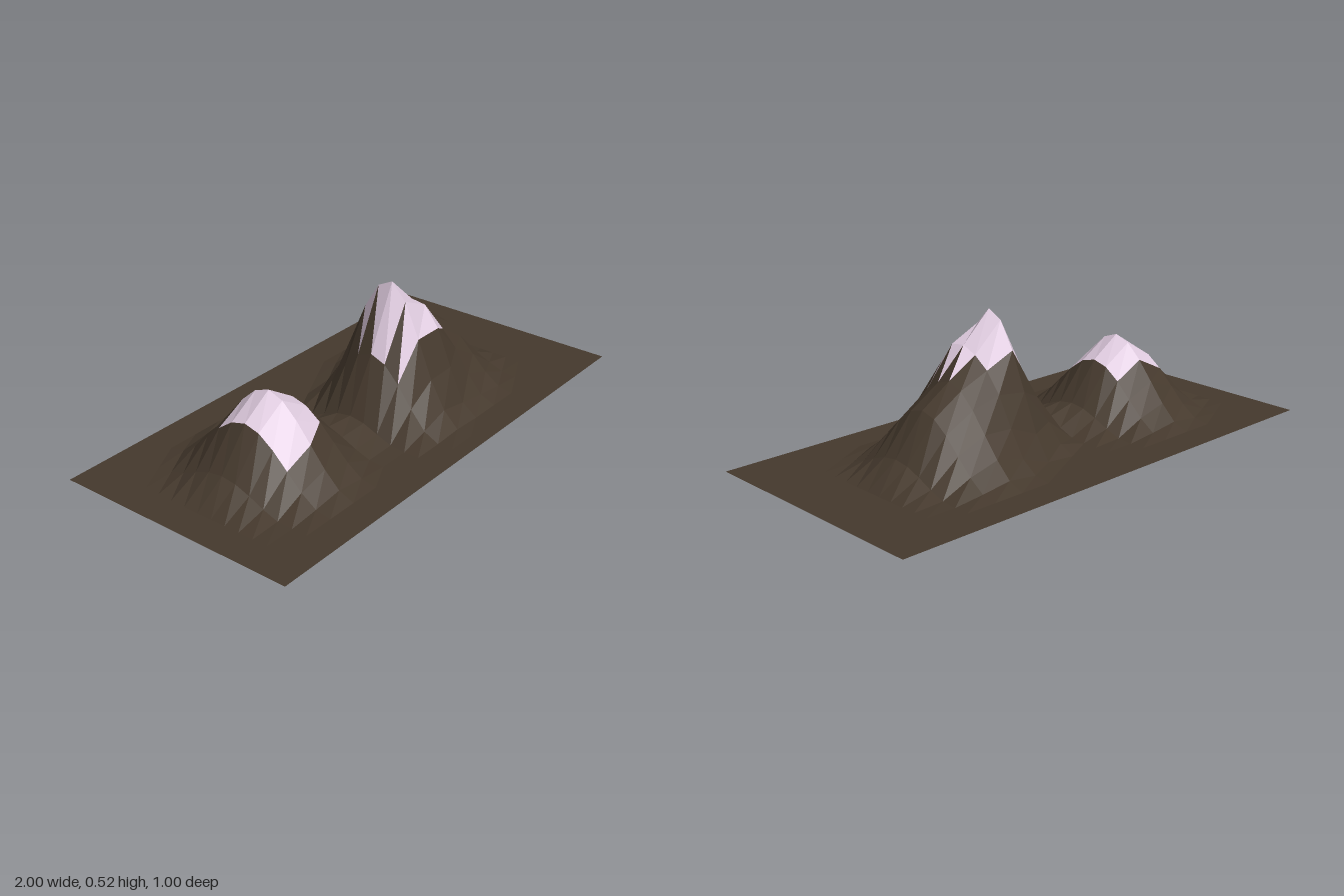
import * as THREE from 'three';

const N = 16, DX = 2 / N, DZ = 1 / N;

// Hills raised one after another, each with a smooth falloff measured over the surface so far
const hills = [
  { x: -0.5, z: 0, height: 0.315, radius: 0.38 },
  { x: 0.375, z: 0, height: 0.315, radius: 0.38 },
  { x: 0.125, z: 0.0625, height: 0.447, radius: 0.345 },
];

function heightAt(x, z, count = hills.length) {
  if (count === 0) return 0;
  const h = hills[count - 1];
  const y = heightAt(x, z, count - 1);
  const d = Math.hypot(x - h.x, z - h.z, y - heightAt(h.x, h.z, count - 1));
  const t = Math.max(0, 1 - d / h.radius);
  return y + h.height * t * t * (3 - 2 * t);
}

// Snow cells per row, keyed by grid row: [column, part], part 0 = back half, 1 = front half, 2 = whole
const smallCap = {};
for (let row = 6; row < 10; row++) smallCap[row] = [[3, 2], [4, 2]];
smallCap[10] = [[3, 2], [4, 0]];
const largeCap = {
  7: [[8, 1], [9, 2]],
  8: [[8, 1], [9, 2], [10, 0]],
  9: [[8, 2], [9, 2], [10, 0]],
  10: [[8, 1], [9, 2], [10, 0]],
};

function coverOf(col, row, half) {
  const has = (cap) => (cap[row] || []).some(([c, part]) => c === col && (part === 2 || part === half));
  if (has(smallCap)) return 'smallPeakSnow';
  return has(largeCap) ? 'largePeakSnow' : 'ground';
}

export function createModel() {
  const group = new THREE.Group();
  group.name = 'mountainTerrain';
  const parts = { ground: [], smallPeakSnow: [], largePeakSnow: [] };

  const corner = (col, row) => {
    const x = -1 + col * DX, z = -0.5 + row * DZ;
    return [x, heightAt(x, z), z];
  };

  // Two triangles per grid cell, sorted by cover
  for (let row = 0; row < N; row++) {
    for (let col = 0; col < N; col++) {
      const a = corner(col, row), b = corner(col, row + 1);
      const c = corner(col + 1, row + 1), d = corner(col + 1, row);
      parts[coverOf(col, row, 0)].push(...a, ...b, ...d);
      parts[coverOf(col, row, 1)].push(...b, ...c, ...d);
    }
  }

  const material = (color) =>
    new THREE.MeshStandardMaterial({ color, flatShading: true, side: THREE.DoubleSide });
  const earth = material(0x45392d), snow = material(0xe0cce0);

  for (const [name, points] of Object.entries(parts)) {
    const geometry = new THREE.BufferGeometry();
    geometry.setAttribute('position', new THREE.Float32BufferAttribute(points, 3));
    geometry.computeVertexNormals();
    const mesh = new THREE.Mesh(geometry, name === 'ground' ? earth : snow);
    mesh.name = name;
    group.add(mesh);
  }
  return group;
}
